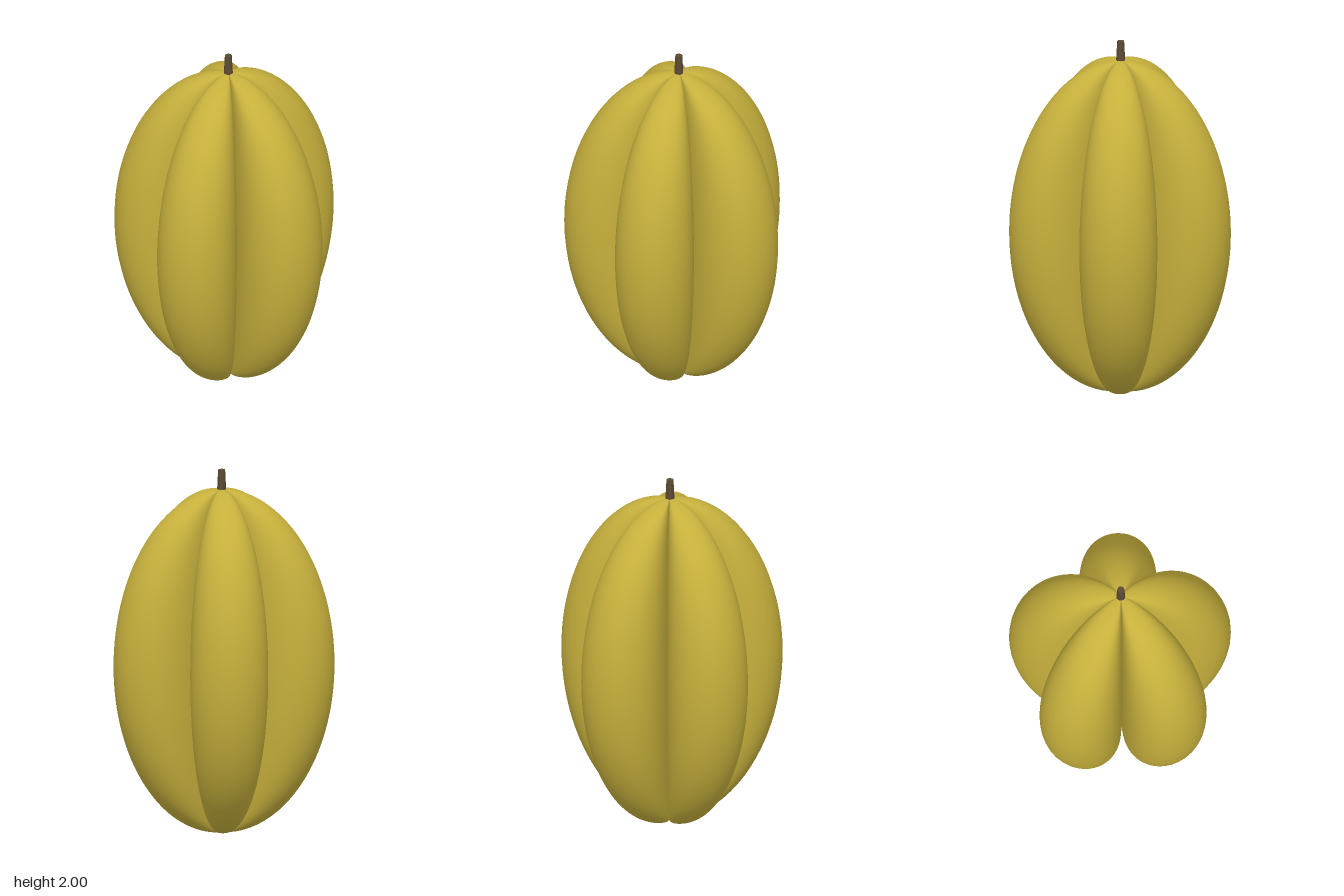
import * as THREE from 'three';

const LOBES = 5;
const RADIUS = 0.62;
const HEIGHT = 1.893;
const AXIS_X = -0.04;

// One petal-shaped lobe: a sheet from valley to valley, scaled along an elliptical profile.
function lobeGeometry() {
  const rows = 64, cols = 48, half = Math.PI / LOBES;
  const positions = [], index = [];
  for (let i = 0; i <= rows; i++) {
    const polar = (i / rows) * Math.PI;
    const y = HEIGHT * 0.5 * (1 - Math.cos(polar));
    const scale = RADIUS * Math.sin(polar);
    for (let j = 0; j <= cols; j++) {
      // Columns crowd towards the valleys, where the section is steepest
      const s = (2 * j) / cols - 1;
      const angle = Math.sign(s) * half * (1 - Math.pow(1 - Math.abs(s), 2.5));
      const edge = j === 0 || j === cols;
      const r = edge ? 0 : scale * Math.pow(Math.cos(angle * LOBES / 2), 0.3);
      positions.push(r * Math.cos(angle), y, -r * Math.sin(angle));
    }
  }
  for (let i = 0; i < rows; i++) {
    for (let j = 0; j < cols; j++) {
      const a = i * (cols + 1) + j, b = a + 1, c = a + cols + 1, d = c + 1;
      if (i > 0) index.push(a, b, d);
      if (i < rows - 1) index.push(a, d, c);
    }
  }
  const geometry = new THREE.BufferGeometry();
  geometry.setAttribute('position', new THREE.Float32BufferAttribute(positions, 3));
  geometry.setIndex(index);
  geometry.computeVertexNormals();
  return geometry;
}

export function createModel() {
  const skin = new THREE.MeshStandardMaterial({ color: 0xc6b03c });
  skin.name = 'yellow skin';
  const wood = new THREE.MeshStandardMaterial({ color: 0x5a4a32 });
  wood.name = 'brown stem';

  const model = new THREE.Group();
  model.name = 'starFruit';

  // Five lobes around the core
  const fruit = new THREE.Group();
  fruit.name = 'fruit';
  const geometry = lobeGeometry();
  for (let k = 0; k < LOBES; k++) {
    const lobe = new THREE.Mesh(geometry, skin);
    lobe.name = `lobe${k + 1}`;
    lobe.rotation.y = (k * 2 * Math.PI) / LOBES;
    fruit.add(lobe);
  }
  fruit.position.x = AXIS_X;
  model.add(fruit);

  // Short tapered stem
  const stem = new THREE.Mesh(new THREE.CylinderGeometry(0.019, 0.025, 0.12, 16), wood);
  stem.name = 'stem';
  stem.position.set(AXIS_X, 1.94, 0);
  model.add(stem);

  return model;
}
